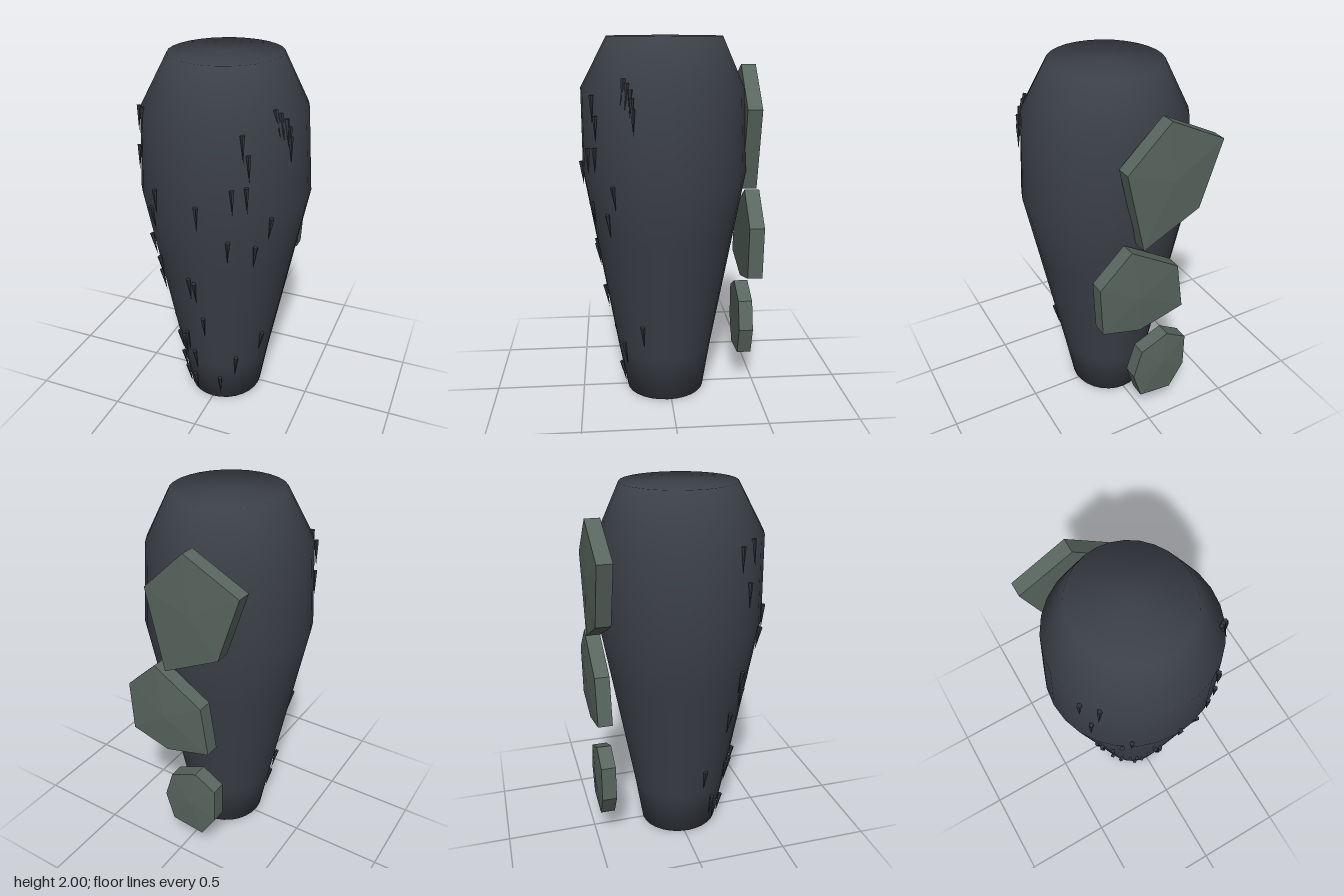
import * as THREE from 'three';
import { mergeVertices } from 'three/addons/utils/BufferGeometryUtils.js';

const mat = (name, color, flatShading = false) => {
  const m = new THREE.MeshStandardMaterial({ color, flatShading });
  m.name = name;
  return m;
};

// Body sections: height, half width, half depth, z of the centre
const SECTIONS = [
  [0, 0.207, 0.22, 0.02],
  [0.27, 0.255, 0.266, 0.025],
  [0.61, 0.322, 0.325, 0.024],
  [0.95, 0.388, 0.384, 0.023],
  [1.29, 0.455, 0.443, 0.022],
  [1.74, 0.425, 0.433, 0.032],
  [2, 0.29, 0.305, 0.02],
];

// Interpolated section at a height
function sectionAt(y) {
  const i = Math.max(1, SECTIONS.findIndex((s) => s[0] >= y));
  const a = SECTIONS[i - 1], b = SECTIONS[i];
  const t = Math.max(0, (y - a[0]) / (b[0] - a[0]));
  return a.map((v, k) => v + (b[k] - v) * t);
}

// Closed lathe, squashed per section, smooth all over
function bodyGeometry() {
  const profile = [
    new THREE.Vector2(0, 0),
    ...SECTIONS.map(([y, r]) => new THREE.Vector2(r, y)),
    new THREE.Vector2(0, 2),
  ];
  let g = new THREE.LatheGeometry(profile, 28);
  const p = g.attributes.position;
  for (let i = 0; i < p.count; i++) {
    const [, rx, rz, zc] = sectionAt(p.getY(i));
    p.setZ(i, zc + (p.getZ(i) / rx) * rz);
  }
  g.deleteAttribute('uv');
  g.deleteAttribute('normal');
  g = mergeVertices(g, 1e-4);
  g.computeVertexNormals();
  return g;
}

// Irregular plate with a slightly raised centre on its back
function plateGeometry(outline) {
  const zf = -0.4, zb = -0.48, zPeak = -0.492;
  const n = outline.length, pos = [];
  const cx = outline.reduce((s, q) => s + q[0], 0) / n;
  const cy = outline.reduce((s, q) => s + q[1], 0) / n;
  outline.forEach(([ax, ay], i) => {
    const [bx, by] = outline[(i + 1) % n];
    pos.push(cx, cy, zf, ax, ay, zf, bx, by, zf);
    pos.push(cx, cy, zPeak, bx, by, zb, ax, ay, zb);
    pos.push(ax, ay, zf, ax, ay, zb, bx, by, zb);
    pos.push(ax, ay, zf, bx, by, zb, bx, by, zf);
  });
  const g = new THREE.BufferGeometry();
  g.setAttribute('position', new THREE.Float32BufferAttribute(pos, 3));
  g.computeVertexNormals();
  return g;
}

const PLATES = [
  [[0.16, 1.63], [-0.07, 1.85], [-0.37, 1.7], [-0.255, 1.35], [0.06, 1.19]],
  [[0.305, 1.03], [0.128, 1.2], [-0.149, 1.03], [-0.19, 0.76], [0.07, 0.69], [0.29, 0.75]],
  [[0.05, 0.52], [-0.107, 0.59], [-0.227, 0.52], [-0.227, 0.32], [-0.142, 0.18], [0.05, 0.2], [0.099, 0.36]],
];

// Bristles over the front: x and height of the root
const BRISTLES = [
  [-0.38, 1.74], [-0.32, 1.76], [-0.36, 1.55], [-0.22, 1.38], [-0.26, 1.27],
  [-0.32, 1.05], [-0.27, 0.93], [-0.3, 0.8], [-0.06, 0.89], [-0.03, 0.87],
  [0, 0.63], [0.02, 1.35], [0.23, 1.72], [0.255, 1.62], [0.19, 1.45],
  [0.25, 1.46], [0.35, 1.28], [0.165, 1.16], [0.28, 1.12], [0.33, 1.81],
  [0.35, 1.79], [0.375, 1.76], [0.39, 1.72], [0.395, 1.67], [0.265, 0.48],
  [0.15, 0.34], [0.06, 0.18], [-0.285, 0.44], [-0.19, 0.43], [-0.15, 0.43],
  [-0.12, 0.48], [-0.08, 0.35], [-0.21, 0.22], [-0.17, 0.15], [-0.1, 0.15],
];

// Point on the body's surface at a given angle around it
function onSurface(y, angle) {
  const [, rx, rz, zc] = sectionAt(y);
  return new THREE.Vector3(rx * Math.sin(angle), y, zc + rz * Math.cos(angle));
}

export function createModel() {
  const group = new THREE.Group();
  const add = (name, geometry, material) => {
    const mesh = new THREE.Mesh(geometry, material);
    mesh.name = name;
    group.add(mesh);
    return mesh;
  };
  const hide = mat('dark hide', 0x3b3f47);
  const stone = mat('grey green plate', 0x59665f, true);
  const horn = mat('dark bristle', 0x30343b, true);

  add('body', bodyGeometry(), hide);
  PLATES.forEach((o, i) => add(`backPlate${i + 1}`, plateGeometry(o), stone));

  // Tapered bristles hanging down along the surface
  const length = 0.135;
  const cone = new THREE.ConeGeometry(0.013, length, 5);
  const up = new THREE.Vector3(0, 1, 0);
  BRISTLES.forEach(([x, y], i) => {
    const angle = Math.asin(THREE.MathUtils.clamp(x / sectionAt(y)[1], -0.97, 0.97));
    const root = onSurface(y, angle);
    const tip = onSurface(Math.max(0, y - length), angle);
    const out = new THREE.Vector3(Math.sin(angle), 0, Math.cos(angle));
    const mesh = add(`bristle${i + 1}`, cone, horn);
    mesh.position.copy(root).add(tip).multiplyScalar(0.5).addScaledVector(out, 0.009);
    mesh.quaternion.setFromUnitVectors(up, tip.sub(root).normalize());
  });
  return group;
}
